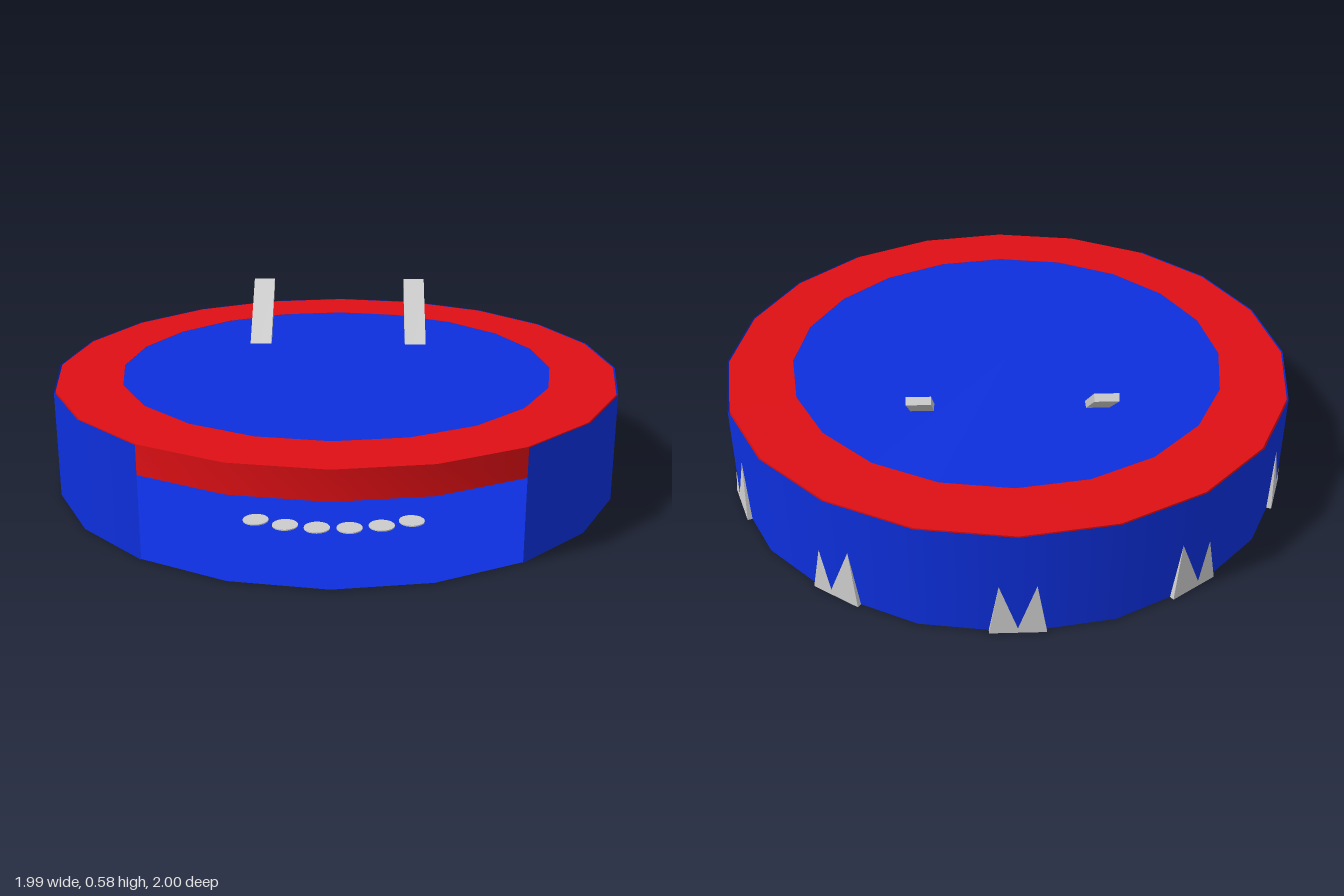
import * as THREE from 'three';
import { toCreasedNormals } from 'three/addons/utils/BufferGeometryUtils.js';

const SIDES = 20, HEIGHT = 0.38, CEILING = 0.28;
const deg = THREE.MathUtils.degToRad;

const paint = (color, side = THREE.FrontSide) => new THREE.MeshStandardMaterial({ color, side });
const blue = paint(0x0d2fdd), blueSheet = paint(0x0d2fdd, THREE.DoubleSide);
const red = paint(0xdd0f14), green = paint(0x1a9a10), purple = paint(0x9a0fa0), grey = paint(0xcccccc);

function part(name, geometry, material, parent) {
  const mesh = new THREE.Mesh(geometry, material);
  mesh.name = name;
  parent.add(mesh);
  return mesh;
}

// Turned solid; profile runs upward on the outside
function turned(points, sides) {
  const profile = points.map(([r, y]) => new THREE.Vector2(r, y));
  return toCreasedNormals(new THREE.LatheGeometry(profile, sides), deg(30));
}

// Box whose top and bottom have their own half width, inner and outer depth
function taperedBlock(y0, y1, bottom, top) {
  const geo = new THREE.BoxGeometry(1, 1, 1);
  const p = geo.attributes.position;
  for (let i = 0; i < p.count; i++) {
    const up = p.getY(i) > 0;
    const [half, inner, outer] = up ? top : bottom;
    p.setXYZ(i, Math.sign(p.getX(i)) * half, up ? y1 : y0, p.getZ(i) > 0 ? outer : inner);
  }
  const flat = geo.toNonIndexed();
  flat.computeVertexNormals();
  return flat;
}

export function createModel() {
  const model = new THREE.Group();
  model.name = 'roundHall';
  const hall = new THREE.Group();
  hall.name = 'hall';
  hall.rotation.y = deg(6.3);
  model.add(hall);

  // Thin outer wall, open over four sides at the front
  const wall = part('outerWall',
    new THREE.CylinderGeometry(1.003, 1.003, HEIGHT, 16, 1, true, deg(36), deg(288)), blueSheet, hall);
  wall.position.y = HEIGHT / 2;

  // Floor sheet
  const floor = part('floor', new THREE.CircleGeometry(1.003, SIDES), blueSheet, hall);
  floor.rotation.set(-Math.PI / 2, 0, Math.PI / 2);
  floor.position.y = 0.003;

  // Roof slab and the ring around it
  part('roof', turned([[0, CEILING], [0.768, CEILING], [0.768, HEIGHT - 0.001], [0, HEIGHT - 0.001]], SIDES), blue, hall);
  part('roofRing', turned([[0.768, CEILING], [0.997, CEILING], [0.997, HEIGHT], [0.768, HEIGHT], [0.768, CEILING]], SIDES), red, hall);

  // Round platform on the floor and lamp under the ceiling
  part('floorPlatform', turned([[0, 0], [0.34, 0], [0.335, 0.008], [0.285, 0.025], [0, 0.025]], 40), purple, hall);
  part('ceilingLamp', turned([[0, 0.232], [0.14, 0.234], [0.185, 0.245], [0.2, 0.26], [0.2, CEILING]], 40), green, hall);

  // Tapered pillars along the back wall, each with a raised inner panel
  for (let i = -2; i <= 2; i++) {
    const pillar = new THREE.Group();
    pillar.name = 'pillar';
    pillar.rotation.y = Math.PI + deg(35 * i);
    hall.add(pillar);
    part('pillarBody', taperedBlock(0, CEILING, [0.09, 0.86, 1.004], [0.042, 0.9, 0.988]), grey, pillar);
    part('pillarPanel', taperedBlock(0.08, CEILING, [0.06, 0.862, 0.9], [0.034, 0.888, 0.92]), grey, pillar);
  }

  // Pair of slanted beams passing through the roof
  for (const side of [-1, 1]) {
    const beam = part('slantedBeam', new THREE.BoxGeometry(0.08, 0.58, 0.026), grey, hall);
    beam.position.set(side * 0.297, 0.388, -0.325);
    beam.rotation.x = -deg(52);
  }

  // Arc of flat round steps inside the entrance
  for (let i = 0; i < 6; i++) {
    const angle = deg((i - 2.5) * 10.6);
    const step = part('entranceStep', new THREE.CylinderGeometry(0.043, 0.043, 0.004, 24), grey, hall);
    step.position.set(0.58 * Math.sin(angle), 0.006, 0.58 * Math.cos(angle));
  }

  return model;
}
